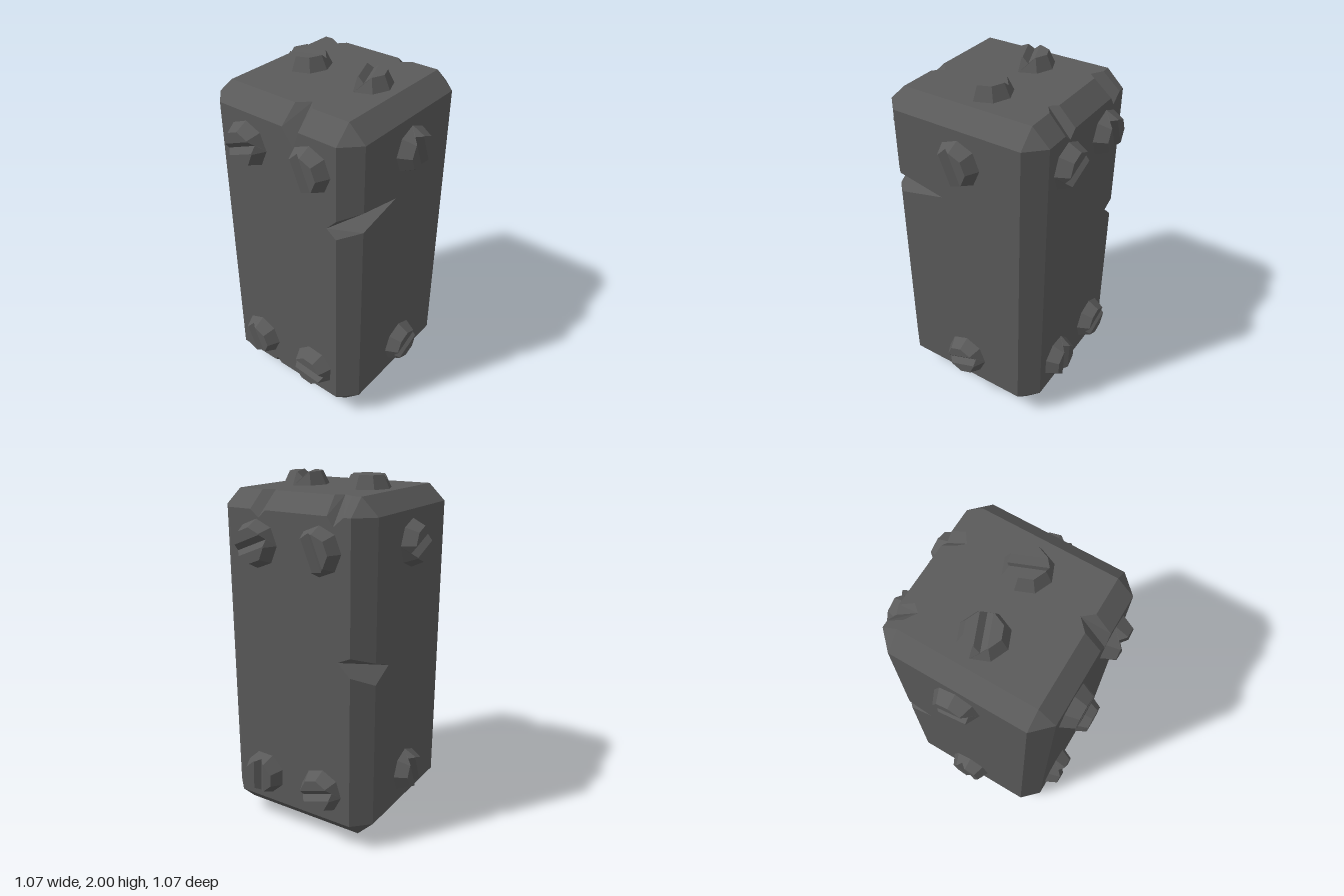
import * as THREE from 'three';

const V = (x, y, z) => new THREE.Vector3(x, y, z);
const darkMetal = new THREE.MeshStandardMaterial({ color: 0x5a5a5a });
darkMetal.name = 'darkMetal';
darkMetal.flatShading = true;

// Collects planar polygons; each one is turned so that it faces along "out".
function polyMesher() {
  const pos = [];
  return {
    add(points, out) {
      const n = V(0, 0, 0);
      points.forEach((p, i) => n.add(p.clone().cross(points[(i + 1) % points.length])));
      const pts = n.dot(out) < 0 ? points.slice().reverse() : points;
      if (n.dot(out) < 0) n.negate();
      n.normalize();
      const u = pts[1].clone().sub(pts[0]).normalize();
      const v = n.clone().cross(u);
      const flat = pts.map(p => new THREE.Vector2(p.dot(u), p.dot(v)));
      for (const tri of THREE.ShapeUtils.triangulateShape(flat, [])) {
        for (const i of tri) pos.push(pts[i].x, pts[i].y, pts[i].z);
      }
    },
    geometry() {
      const g = new THREE.BufferGeometry();
      g.setAttribute('position', new THREE.Float32BufferAttribute(pos, 3));
      g.computeVertexNormals();
      return g;
    },
  };
}

// Block limits: outer face planes and the inner lines where the bevels start
const W = 0.465, I = 0.37, T = 1.93, TI = 1.84, B = 0.075, BI = 0.17;
const outer = [[-W, W], [B, T], [-W, W]];
const inner = [[-I, I], [BI, TI], [-I, I]];

// Chipped edges: a and b are [start, tip, end] on the two faces beside the bevel
const chips = [
  { a: [V(0.05, T, I), V(0.11, T, 0.314), V(0.157, T, I)],
    b: [V(0.045, TI, W), V(0.11, 1.75, W), V(0.146, TI, W)] },
  { a: [V(I, 1.326, W), V(0.31, 1.37, W), V(I, 1.435, W)],
    b: [V(W, 1.358, I), V(W, 1.42, 0.1), V(W, 1.475, I)] },
  { a: [V(-0.32, T, -I), V(-0.255, T, -0.33), V(-0.22, T, -I)],
    b: [V(-0.33, TI, -W), V(-0.27, 1.79, -W), V(-0.235, TI, -W)] },
  { a: [V(0.13, T, -I), V(0.165, T, -0.33), V(0.22, T, -I)],
    b: [V(0.135, TI, -W), V(0.18, 1.8, -W), V(0.23, TI, -W)] },
  { a: [V(-0.11, B, I), V(-0.085, B, 0.33), V(-0.055, B, I)],
    b: [V(-0.11, BI, W), V(-0.09, 0.2, W), V(-0.06, BI, W)] },
  { a: [V(-I, 1.04, -W), V(-0.295, 1.11, -W), V(-I, 1.145, -W)],
    b: [V(-W, 0.99, -I), V(-W, 1.06, -0.235), V(-W, 1.11, -I)] },
];

// A point on the face of axis k, side s, at corner given by the sides of the other axes
function corner(k, sides) {
  return V(...[0, 1, 2].map(i => (i === k ? outer : inner)[i][sides[i]]));
}

// Chips whose start lies on the line P-Q, in order from P to Q
function chipsOn(P, Q) {
  const len = P.distanceTo(Q), found = [];
  for (const { a, b } of chips) {
    for (const [own, other] of [[a, b], [b, a]]) {
      if (Math.abs(own[0].distanceTo(P) + own[0].distanceTo(Q) - len) > 1e-5) continue;
      const back = own[0].distanceTo(P) > own[2].distanceTo(P);
      found.push(back ? [own.slice().reverse(), other.slice().reverse()] : [own, other]);
    }
  }
  return found.sort((p, q) => p[0][0].distanceTo(P) - q[0][0].distanceTo(P));
}

function bodyGeometry() {
  const m = polyMesher();
  const sign = s => (s ? 1 : -1);
  for (let k = 0; k < 3; k++) {
    const u = (k + 1) % 3, v = (k + 2) % 3;
    // Flat faces with the chip outlines cut into their borders
    for (const s of [0, 1]) {
      const loop = [[0, 0], [1, 0], [1, 1], [0, 1]].map(([p, q]) => {
        const sides = [];
        sides[k] = s; sides[u] = p; sides[v] = q;
        return corner(k, sides);
      });
      const outline = [];
      loop.forEach((P, i) => {
        outline.push(P);
        for (const [own] of chipsOn(P, loop[(i + 1) % 4])) outline.push(...own);
      });
      m.add(outline, V(0, 0, 0).setComponent(k, sign(s)));
    }
    // Bevels running along axis k, split around the chips
    for (const p of [0, 1]) for (const q of [0, 1]) {
      const ends = [0, 1].map(e => {
        const sides = [];
        sides[k] = e; sides[u] = p; sides[v] = q;
        return [corner(u, sides), corner(v, sides)];
      });
      const out = V(0, 0, 0).setComponent(u, sign(p)).setComponent(v, sign(q));
      let [P, R] = ends[0];
      for (const [a, b] of chipsOn(ends[0][0], ends[1][0])) {
        m.add([P, a[0], b[0], R], out);
        // Two sloping chip walls that meet in a valley from tip to tip
        for (const [i, j] of [[0, 2], [2, 0]]) {
          const across = a[j].clone().sub(a[i]);
          m.add([a[i], a[1], b[i]], across);
          m.add([a[1], b[1], b[i]], across);
        }
        P = a[2]; R = b[2];
      }
      m.add([P, ends[1][0], ends[1][1], R], out);
    }
  }
  // Corner triangles
  for (let c = 0; c < 8; c++) {
    const sides = [c & 1, (c >> 1) & 1, c >> 2];
    m.add([0, 1, 2].map(k => corner(k, sides)), V(...sides.map(sign)));
  }
  return m.geometry();
}

// Eight-sided tapered screw head along +z with a V slot along x
function screwGeometry() {
  const m = polyMesher();
  const r0 = 0.13, r1 = 0.093, h = 0.07, half = 0.031, depth = 0.028;
  const ring = (r, z) => Array.from({ length: 8 }, (_, i) => {
    const t = (i - 0.5) * Math.PI / 4;
    return V(r * Math.cos(t), r * Math.sin(t), z);
  });
  const low = ring(r0, -0.005), high = ring(r1, h);
  const flat = Math.cos(Math.PI / 8);
  const xTop = r1 * flat, xDeep = (r1 + (r0 - r1) * depth / h) * flat;
  for (let i = 0; i < 8; i++) {
    const j = (i + 1) % 8, out = low[i].clone().add(low[j]).setZ(0);
    const side = [low[i], low[j], high[j]];
    if (i % 4 === 0) {
      const s = i === 0 ? 1 : -1;
      side.push(V(s * xTop, s * half, h), V(s * xDeep, 0, h - depth), V(s * xTop, -s * half, h));
    }
    side.push(high[i]);
    m.add(side, out);
  }
  const up = V(0, 0, 1);
  for (const s of [1, -1]) {
    const a = V(s * xTop, s * half, h), b = V(-s * xTop, s * half, h);
    const arc = s > 0 ? high.slice(1, 5) : [...high.slice(5), high[0]];
    m.add([a, ...arc, b], up);
    m.add([a, b, V(-s * xDeep, 0, h - depth), V(s * xDeep, 0, h - depth)], up);
  }
  return m.geometry();
}

export function createModel() {
  const model = new THREE.Group();
  const body = new THREE.Mesh(bodyGeometry(), darkMetal);
  body.name = 'bevelledBlock';
  model.add(body);

  // Screws per face: right and up directions, face centre, then [right, up, slot angle]
  const X = V(1, 0, 0), Y = V(0, 1, 0), Z = V(0, 0, 1);
  const nX = V(-1, 0, 0), nZ = V(0, 0, -1);
  const faces = [
    ['front', X, Y, V(0, 0, W), [[-0.194, 1.666, 22], [0.21, 1.666, 112], [-0.194, 0.345, 112], [0.21, 0.34, -5]]],
    ['back', nX, Y, V(0, 0, -W), [[-0.195, 1.666, 22], [0.19, 1.666, 112], [-0.195, 0.34, 88], [0.19, 0.34, 18]]],
    ['left', nZ, Y, V(W, 0, 0), [[0.013, 1.66, 112], [0.013, 0.33, 22]]],
    ['right', Z, Y, V(-W, 0, 0), [[-0.01, 1.666, 22], [-0.01, 0.345, 112]]],
    ['top', X, nZ, V(0, T, 0), [[-0.197, 0.012, 22], [0.195, 0.012, 112]]],
    ['bottom', X, Z, V(0, B, 0), [[-0.21, -0.012, 95], [0.19, -0.012, 40]]],
  ];
  const screw = screwGeometry();
  for (const [name, u, v, centre, list] of faces) {
    const basis = new THREE.Matrix4().makeBasis(u, v, u.clone().cross(v));
    for (const [a, b, angle] of list) {
      const mesh = new THREE.Mesh(screw, darkMetal);
      mesh.name = name + 'Screw';
      mesh.quaternion.setFromRotationMatrix(basis);
      mesh.rotateZ(angle * Math.PI / 180);
      mesh.position.copy(centre).addScaledVector(u, a).addScaledVector(v, b);
      model.add(mesh);
    }
  }
  return model;
}
